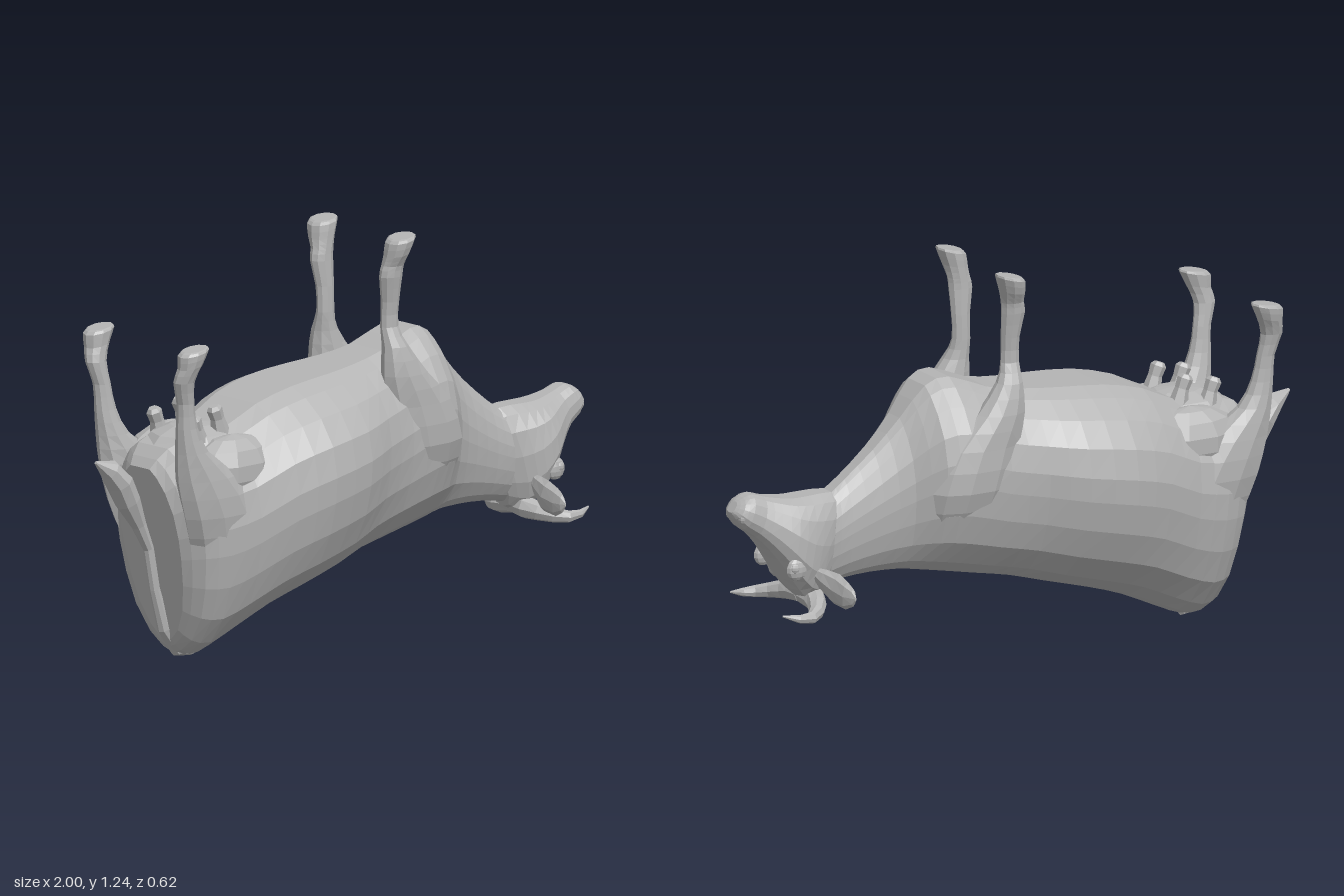
import * as THREE from 'three';

const hide = new THREE.MeshStandardMaterial({ color: 0xb4b4b4, flatShading: true });
hide.name = 'grey hide';

// Skin a list of point loops, close both ends and face the result outwards
function loft(name, loops) {
  const tris = [], n = loops[0].length;
  const mid = l => l.reduce((a, p) => a.add(p), new THREE.Vector3()).divideScalar(n);
  for (let i = 0; i < loops.length - 1; i++) {
    for (let j = 0; j < n; j++) {
      const k = (j + 1) % n, a = loops[i], b = loops[i + 1];
      tris.push([a[j], b[j], b[k]], [a[j], b[k], a[k]]);
    }
  }
  const first = loops[0], last = loops[loops.length - 1], c0 = mid(first), c1 = mid(last);
  for (let j = 0; j < n; j++) {
    const k = (j + 1) % n;
    tris.push([c0, first[j], first[k]], [c1, last[k], last[j]]);
  }
  const volume = tris.reduce((s, [a, b, c]) => s + a.dot(b.clone().cross(c)), 0);
  const pts = tris.flatMap(([a, b, c]) => (volume < 0 ? [a, c, b] : [a, b, c]));
  const geo = new THREE.BufferGeometry().setFromPoints(pts);
  geo.computeVertexNormals();
  const mesh = new THREE.Mesh(geo, hide);
  mesh.name = name;
  return mesh;
}

// Smoothly add rows between the given rows of numbers, padded to six values
function refine(given, steps) {
  const rows = given.map(r => [...r, 0].slice(0, 6)), out = [];
  const cr = (a, b, c, d, t) => 0.5 * (2 * b + (c - a) * t + (2 * a - 5 * b + 4 * c - d) * t * t + (3 * b - a - 3 * c + d) * t ** 3);
  for (let i = 0; i < rows.length - 1; i++) {
    const a = rows[Math.max(i - 1, 0)], b = rows[i], c = rows[i + 1], d = rows[Math.min(i + 2, rows.length - 1)];
    for (let s = 0; s < steps; s++) out.push(b.map((v, k) => cr(a[k], v, c[k], d[k], s / steps)));
  }
  out.push(rows[rows.length - 1]);
  return out;
}

// Upright section: [spine x, spine y, belly x, belly y, half width, narrowing towards the belly]
function section([bx, by, tx, ty, w, pinch], profile) {
  const at = (v, z) => new THREE.Vector3(bx + (tx - bx) * v, by + (ty - by) * v, z);
  const width = ([v, k]) => k * w * (1 - pinch * v ** 3);
  const side = profile.map(p => at(p[0], width(p)));
  const other = profile.map(p => at(p[0], -width(p))).reverse();
  return [at(0, 0), ...side, ...other];
}

// Oval: [x, y, z, x radius, z radius, tilt towards the front], mirrored by s
function oval([x, y, z, rx, rz, tilt], s, n = 10) {
  return Array.from({ length: n }, (_, i) => {
    const a = (i / n) * Math.PI * 2;
    return new THREE.Vector3(x + Math.cos(a) * rx, y + Math.cos(a) * tilt, s * (z + Math.sin(a) * rz));
  });
}

// Tapered tube along points: [x, y, z, radius, flatness in the second direction]
function taper(name, rows, s, ref, n = 8) {
  const pts = rows.map(r => new THREE.Vector3(r[0], r[1], s * r[2]));
  return loft(name, pts.map((p, i) => {
    const dir = pts[Math.min(i + 1, pts.length - 1)].clone().sub(pts[Math.max(i - 1, 0)]).normalize();
    const v = dir.clone().cross(ref).normalize(), u = v.clone().cross(dir).normalize();
    return Array.from({ length: n }, (_, j) => {
      const a = (j / n) * Math.PI * 2, [, , , r, f] = rows[i];
      return p.clone().addScaledVector(u, Math.cos(a) * r).addScaledVector(v, Math.sin(a) * r * f);
    });
  }));
}

function blob(name, x, y, z, rx, ry, rz) {
  const m = new THREE.Mesh(new THREE.SphereGeometry(1, 10, 7), hide);
  m.position.set(x, y, z);
  m.scale.set(rx, ry, rz);
  m.name = name;
  return m;
}

export function createModel() {
  const cow = new THREE.Group();
  cow.name = 'cowOnItsBack';
  const Y = new THREE.Vector3(0, 1, 0), Z = new THREE.Vector3(0, 0, 1);

  // Trunk and neck, spine down
  const trunk = [
    [-.705, .06, -.815, .62, .13], [-.68, .02, -.76, .68, .20], [-.62, .005, -.66, .705, .235],
    [-.52, .045, -.55, .715, .25], [-.40, .10, -.42, .775, .285], [-.28, .14, -.28, .81, .31],
    [-.12, .185, -.12, .825, .295], [0, .22, 0, .835, .25], [.12, .245, .12, .855, .225, .08],
    [.24, .27, .25, .905, .225, .2], [.33, .288, .33, .885, .20, .25], [.40, .30, .41, .79, .132, .25],
    [.50, .305, .50, .70, .098, .25], [.60, .30, .60, .62, .08, .2], [.69, .285, .65, .585, .08, .1],
  ];
  const bodyShape = [[.02, .2], [.08, .47], [.2, .74], [.35, .9], [.5, .98], [.62, 1], [.76, .94], [.88, .76], [.96, .53], [1, .33]];
  cow.add(loft('trunk', refine(trunk, 2).map(r => section(r, bodyShape))));

  // Head, forehead below and jaw above
  const head = [
    [.69, .27, .57, .56, .05], [.74, .255, .65, .588, .09], [.785, .295, .73, .59, .113], [.835, .37, .79, .59, .112],
    [.88, .435, .84, .597, .088], [.925, .485, .885, .607, .066], [.965, .515, .925, .62, .062], [.99, .55, .955, .612, .048],
    [.998, .57, .975, .60, .02],
  ];
  const headShape = [[.03, .55], [.14, .85], [.3, 1], [.55, 1], [.78, .86], [.93, .6], [1, .28]];
  cow.add(loft('head', refine(head, 2).map(r => section(r, headShape))));

  // Udder
  cow.add(blob('udder', -.60, .655, 0, .17, .08, .15));

  // Forelegs with shoulders, hind legs with thighs, from the hoof down
  const foreLeg = [
    [.107, 1.235, .177, .036, .040, .006], [.102, 1.225, .177, .046, .049, .01], [.092, 1.18, .170, .040, .042, .006],
    [.085, 1.145, .160, .037, .032], [.080, 1.11, .157, .040, .030], [.085, 1.03, .148, .031, .025],
    [.085, .95, .145, .031, .024], [.095, .89, .160, .042, .040], [.128, .80, .165, .082, .056],
    [.185, .70, .165, .125, .062], [.225, .57, .16, .14, .066], [.24, .45, .115, .12, .06], [.25, .36, .05, .08, .04],
  ];
  const hindLeg = [
    [-.785, 1.022, .215, .04, .034, .006], [-.79, 1.012, .215, .053, .042, .01], [-.80, .97, .212, .042, .036, .008],
    [-.815, .92, .20, .036, .029], [-.80, .85, .19, .029, .026], [-.79, .77, .185, .036, .031], [-.765, .69, .18, .056, .045],
    [-.70, .60, .175, .115, .062], [-.635, .48, .175, .15, .066], [-.61, .35, .15, .125, .062], [-.60, .22, .095, .07, .05],
  ];

  for (const s of [1, -1]) {
    const side = s > 0 ? 'left' : 'right';
    cow.add(loft(side + 'ForeLeg', refine(foreLeg, 2).map(r => oval(r, s))));
    cow.add(loft(side + 'HindLeg', refine(hindLeg, 2).map(r => oval(r, s))));

    // Fold of skin between thigh and belly
    cow.add(blob(side + 'FlankFold', -.56, .60, s * .14, .17, .11, .09));

    // Teats
    for (const [x, y, z] of [[-.675, .765, .09], [-.58, .785, .08]]) {
      cow.add(taper(side + 'Teat', [[x + .03, y - .10, z, .034, 1], [x + .012, y - .035, z, .022, 1], [x, y - .005, z, .025, 1], [x - .004, y + .006, z, .016, 1]], s, Z, 6));
    }

    // Ears: broad leaves standing out sideways
    cow.add(taper(side + 'Ear', [[.74, .36, .085, .018, .8], [.73, .345, .12, .036, .6], [.715, .325, .17, .052, .45],
      [.71, .315, .22, .045, .4], [.705, .315, .25, .028, .35], [.705, .315, .265, .006, .4]], s, Y));

    // Horns meeting over the poll and curving forward
    cow.add(taper(side + 'Horn', [[.735, .272, 0, .03, 1], [.73, .27, .06, .036, 1], [.745, .262, .10, .03, 1], [.77, .253, .14, .024, 1],
      [.805, .247, .17, .019, 1], [.85, .25, .172, .013, 1], [.90, .262, .155, .003, 1]], s, Y));

    // Face details
    cow.add(blob(side + 'Brow', .815, .385, s * .098, .036, .036, .018));
    cow.add(blob(side + 'Eye', .825, .39, s * .104, .018, .018, .014));
    cow.add(blob(side + 'Nostril', .97, .555, s * .036, .016, .02, .016));
  }

  // Tail along the rump, ending in a tuft
  cow.add(taper('tail', [[-.61, .03, 0, .03, 1], [-.66, .03, 0, .026, 1], [-.715, .10, 0, .022, 1], [-.755, .23, 0, .017, 1],
    [-.78, .36, 0, .017, 1], [-.82, .44, 0, .024, 1], [-.865, .52, 0, .04, 1], [-.90, .585, 0, .046, .9],
    [-.94, .63, 0, .034, 1], [-.998, .662, 0, .005, 1]], 1, Z));

  return cow;
}
